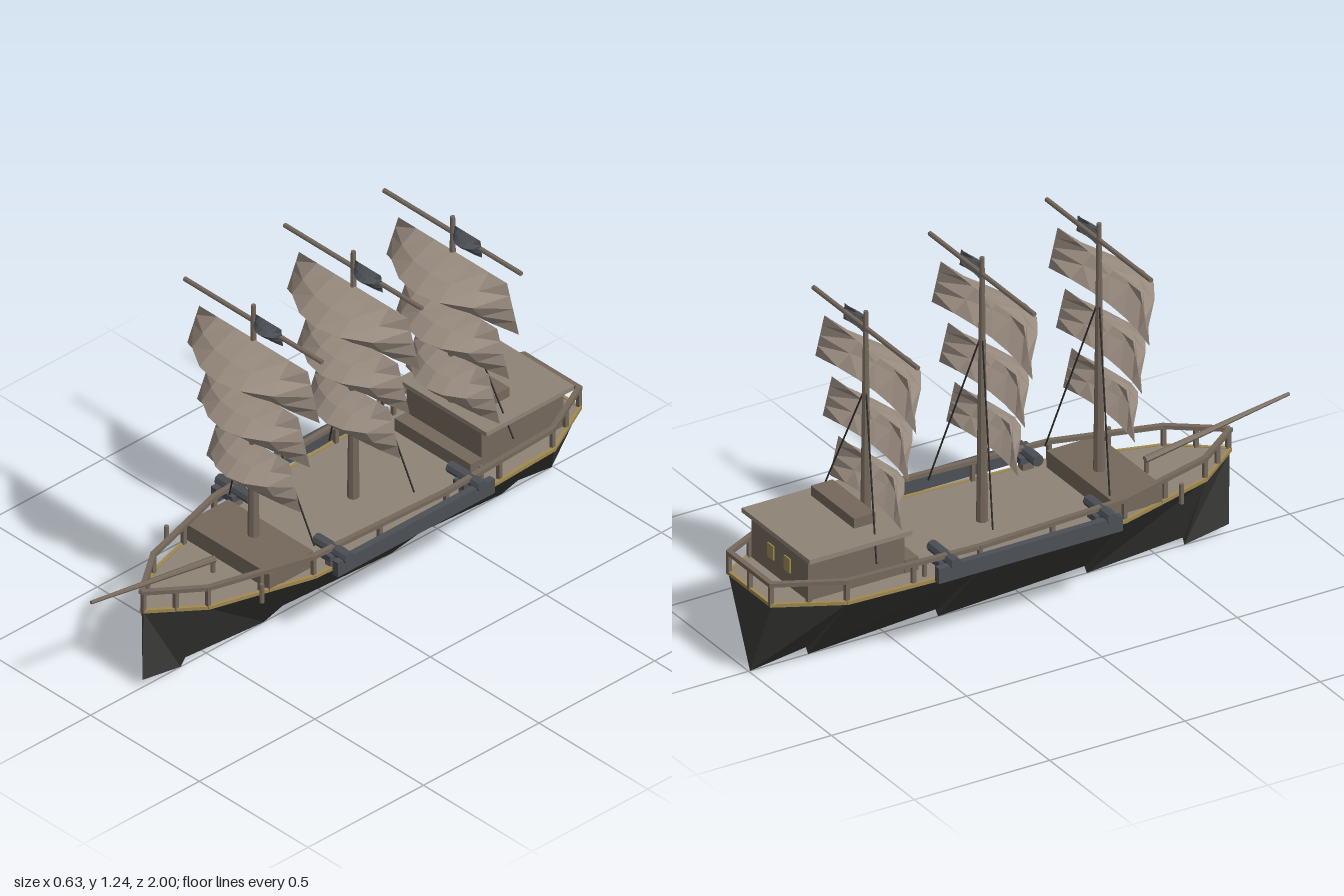
import * as THREE from 'three';

const mat = (color) => new THREE.MeshStandardMaterial({ color, flatShading: true, side: THREE.DoubleSide });
const hullMat = mat(0x3a3a38), deckMat = mat(0x8f8376), woodMat = mat(0x75685c), sailMat = mat(0x9c8e82);
const steelMat = mat(0x4c5056), goldMat = mat(0xa08850), ropeMat = mat(0x2c2a28);

// Half-width of the deck at stations from bow to stern: [z, halfWidth]
const STATIONS = [[0.775, 0.004], [0.61, 0.13], [0.25, 0.235], [-0.3, 0.262], [-0.78, 0.24], [-0.995, 0.13]];
const DECK_Y = 0.29, RAIL_Y = 0.367;

export function createModel() {
  const model = new THREE.Group();
  const V = (x, y, z) => new THREE.Vector3(x, y, z);

  function add(name, geometry, material, x = 0, y = 0, z = 0) {
    const mesh = new THREE.Mesh(geometry, material);
    mesh.name = name;
    mesh.position.set(x, y, z);
    model.add(mesh);
    return mesh;
  }
  // Box given by its limits on each axis
  function box(name, material, [x0, x1], [y0, y1], [z0, z1]) {
    return add(name, new THREE.BoxGeometry(x1 - x0, y1 - y0, z1 - z0), material,
      (x0 + x1) / 2, (y0 + y1) / 2, (z0 + z1) / 2);
  }
  // Round bar between two points
  function bar(name, material, a, b, r0, r1 = r0, sides = 8) {
    const d = b.clone().sub(a);
    const mesh = add(name, new THREE.CylinderGeometry(r1, r0, d.length(), sides), material);
    mesh.position.copy(a).lerp(b, 0.5);
    mesh.quaternion.setFromUnitVectors(V(0, 1, 0), d.normalize());
    return mesh;
  }
  // Square beam between two points of equal height
  function beam(name, material, a, b, w, h) {
    const d = b.clone().sub(a);
    const mesh = add(name, new THREE.BoxGeometry(w, h, d.length() + w * 0.6), material);
    mesh.position.copy(a).lerp(b, 0.5);
    mesh.rotation.y = Math.atan2(d.x, d.z);
  }

  // Hull: V-shaped sections, each with its keel sloping down towards the stern
  for (let i = 0; i < STATIONS.length - 1; i++) {
    const [z0, w0] = STATIONS[i], [z1, w1] = STATIONS[i + 1];
    const L0 = [w0, DECK_Y, z0], R0 = [-w0, DECK_Y, z0], K0 = [0, 0.028, z0];
    const L1 = [w1, DECK_Y, z1], R1 = [-w1, DECK_Y, z1], K1 = [0, 0, z1];
    const tris = [L0, K0, K1, L0, K1, L1, R0, K1, K0, R0, R1, K1, L1, K1, R1, L0, R0, K0];
    const g = new THREE.BufferGeometry();
    g.setAttribute('position', new THREE.Float32BufferAttribute(tris.flat(), 3));
    g.computeVertexNormals();
    add('hullSection', g, hullMat);
  }

  // Deck plate following the hull outline
  const outline = [...STATIONS, ...STATIONS.slice().reverse().map(([z, w]) => [z, -w])];
  const deckShape = new THREE.Shape(outline.map(([z, w]) => new THREE.Vector2(w, -z)));
  const deckGeo = new THREE.ExtrudeGeometry(deckShape, { depth: 0.01, bevelEnabled: false });
  deckGeo.rotateX(-Math.PI / 2);
  add('deck', deckGeo, deckMat, 0, DECK_Y - 0.002, 0);

  // Gold trim, rails and rail posts around the deck
  for (let i = 0; i < outline.length; i++) {
    const [z0, x0] = outline[i], [z1, x1] = outline[(i + 1) % outline.length];
    if (Math.hypot(z1 - z0, x1 - x0) < 0.02) continue;
    const s = 0.97;
    beam('deckTrim', goldMat, V(x0, 0.295, z0), V(x1, 0.295, z1), 0.012, 0.012);
    beam('rail', woodMat, V(x0 * s, RAIL_Y, z0), V(x1 * s, RAIL_Y, z1), 0.018, 0.014);
    for (const t of [0, 0.5]) {
      const x = (x0 + (x1 - x0) * t) * s, z = z0 + (z1 - z0) * t;
      box('railPost', woodMat, [x - 0.007, x + 0.007], [DECK_Y, RAIL_Y], [z - 0.007, z + 0.007]);
    }
  }

  // Forecastle and bowsprit
  box('forecastle', woodMat, [-0.195, 0.195], [DECK_Y, 0.358], [0.22, 0.41]);
  bar('bowsprit', woodMat, V(0, 0.345, 0.465), V(0, 0.432, 0.998), 0.012, 0.006);
  bar('bowspritPost', woodMat, V(0, DECK_Y, 0.47), V(0, 0.35, 0.47), 0.008);

  // Stern cabin with roof, skylight, front step and windows
  box('cabin', woodMat, [-0.172, 0.172], [DECK_Y, 0.45], [-0.885, -0.53]);
  box('cabinRoof', deckMat, [-0.205, 0.205], [0.447, 0.463], [-0.9, -0.52]);
  box('cabinStep', woodMat, [-0.175, 0.175], [DECK_Y, 0.345], [-0.53, -0.48]);
  box('skylight', woodMat, [-0.13, 0.13], [0.483, 0.518], [-0.69, -0.61]);
  for (const x of [-0.05, 0.05]) {
    box('cabinWindow', goldMat, [x - 0.018, x + 0.018], [0.35, 0.4], [-0.89, -0.88]);
  }

  // Billowing cloth: widths at top and bottom, height, forward bulge
  const PROFILE = [0, 0.6, 1, 0.65, 0.22];
  function cloth(name, material, wTop, wBottom, height, bulge, x, yTop, z) {
    const g = new THREE.PlaneGeometry(2, 1, 6, 4);
    const p = g.attributes.position;
    for (let i = 0; i < p.count; i++) {
      const u = p.getX(i), v = 0.5 - p.getY(i);
      const depth = bulge * (1 - u * u) * PROFILE[Math.round(v * 4)];
      p.setXYZ(i, u * (wTop + (wBottom - wTop) * v), -v * height, depth);
    }
    g.computeVertexNormals();
    add(name, g, material, x, yTop, z);
  }

  // Three masts, each with yard, sails, pennant and stays
  for (const [z, dy] of [[0.295, 0], [-0.137, 0], [-0.567, -0.072]]) {
    bar('mast', woodMat, V(0, DECK_Y, z), V(0, 1.24 + dy, z), 0.02, 0.008);
    bar('yard', woodMat, V(-0.316, 1.18 + dy, z), V(0.316, 1.18 + dy, z), 0.008);
    cloth('topSail', sailMat, 0.25, 0.305, 0.17, 0.165, 0, 1.11 + dy, z);
    cloth('middleSail', sailMat, 0.205, 0.26, 0.165, 0.14, 0, 0.912 + dy, z);
    cloth('lowerSail', sailMat, 0.165, 0.217, 0.165, 0.118, 0, 0.718 + dy, z);
    cloth('pennant', steelMat, 0.06, 0.068, 0.06, 0.042, 0.068, 1.21 + dy, z);
    for (const s of [-1, 1]) {
      bar('stay', ropeMat, V(0, 0.97 + dy, z), V(s * 0.195, 0.375, z - 0.08), 0.003, 0.003, 5);
    }
  }

  // Side planks, guns and deck stubs on both sides
  for (const s of [-1, 1]) {
    const span = (a, b) => (s > 0 ? [a, b] : [-b, -a]);
    box('sidePlank', steelMat, span(0.268, 0.292), [0.298, 0.352], [-0.475, 0.205]);
    for (const z of [0.163, -0.415]) {
      bar('gunBarrel', steelMat, V(s * 0.15, 0.356, z), V(s * 0.3, 0.356, z), 0.02);
      box('gunCarriage', steelMat, span(0.2, 0.25), [0.328, 0.35], [z - 0.035, z + 0.035]);
      box('gunStand', woodMat, span(0.21, 0.24), [DECK_Y, 0.33], [z - 0.02, z + 0.02]);
    }
    for (const z of [0.465, -0.485]) {
      bar('deckStub', woodMat, V(s * 0.22, DECK_Y, z), V(s * 0.22, 0.36, z), 0.008);
    }
  }

  return model;
}
